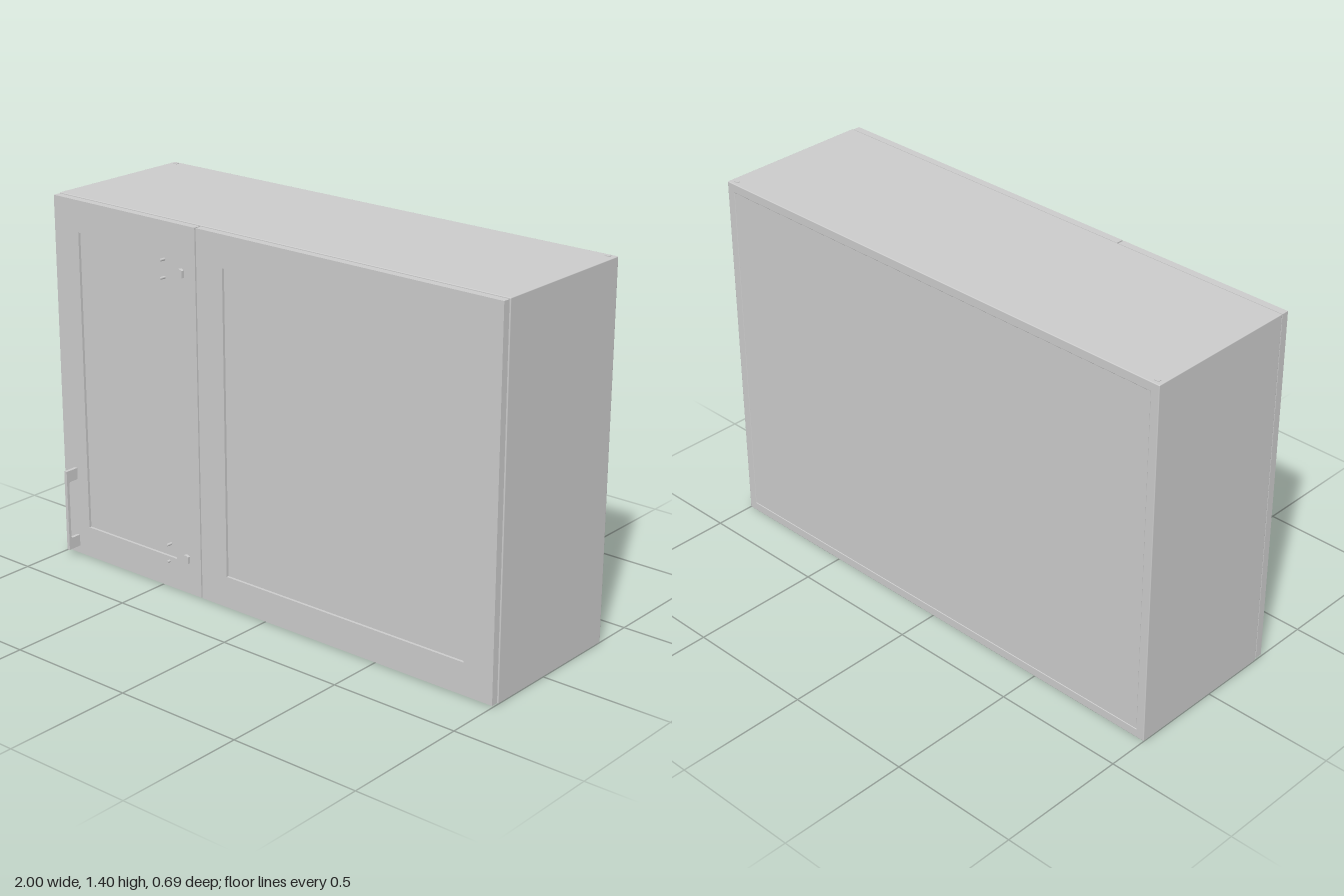
import * as THREE from 'three';
import { RoundedBoxGeometry } from 'three/addons/geometries/RoundedBoxGeometry.js';

const material = new THREE.MeshStandardMaterial({ color: 0xcccccc });

function add(parent, name, geometry, x = 0, y = 0, z = 0) {
  const mesh = new THREE.Mesh(geometry, material);
  mesh.name = name;
  mesh.position.set(x, y, z);
  parent.add(mesh);
  return mesh;
}

// Box given by its lower and upper corners
function box(parent, name, [x0, y0, z0], [x1, y1, z1], radius = 0) {
  const size = [x1 - x0, y1 - y0, z1 - z0];
  const geometry = radius
    ? new RoundedBoxGeometry(...size, 2, radius)
    : new THREE.BoxGeometry(...size);
  return add(parent, name, geometry, (x0 + x1) / 2, (y0 + y1) / 2, (z0 + z1) / 2);
}

function rectangle(target, x0, y0, x1, y1) {
  target.moveTo(x0, y0);
  target.lineTo(x1, y0);
  target.lineTo(x1, y1);
  target.lineTo(x0, y1);
  target.closePath();
  return target;
}

const extrude = (shape, depth) =>
  new THREE.ExtrudeGeometry(shape, { depth, bevelEnabled: false, curveSegments: 8 });

const BACK = -0.345, CARCASS_FRONT = 0.258, DOOR_BACK = 0.262, DOOR_FRONT = 0.29;
const TOP = 1.398, BOARD = 0.035;

// Hollow case made of boards
function makeCarcass() {
  const g = new THREE.Group();
  g.name = 'carcass';
  for (const [name, x] of [['rightSide', -1], ['leftSide', 1 - BOARD]]) {
    box(g, name, [x, 0, BACK], [x + BOARD, TOP, CARCASS_FRONT], 0.003);
  }
  for (const [name, y] of [['bottomBoard', 0], ['topBoard', TOP - BOARD]]) {
    box(g, name, [-0.997, y, BACK], [0.997, y + BOARD, CARCASS_FRONT], 0.003);
  }
  box(g, 'backPanel', [-0.99, 0.01, BACK + 0.002], [0.99, TOP - 0.01, BACK + 0.03]);
  for (const x of [-0.975, 0.972]) {
    box(g, 'hangerCap', [x - 0.009, TOP - 0.004, -0.331], [x + 0.009, 1.4, -0.318]);
  }
  return g;
}

// Frame-and-panel door
function makeDoor(name, x0, x1) {
  const g = new THREE.Group();
  g.name = name;
  const y0 = 0.005, y1 = 1.395, rail = 0.12;
  const frame = rectangle(new THREE.Shape(), x0, y0, x1, y1);
  frame.holes.push(rectangle(new THREE.Path(), x0 + rail, y0 + rail, x1 - rail, y1 - rail));
  add(g, 'doorFrame', extrude(frame, DOOR_FRONT - DOOR_BACK), 0, 0, DOOR_BACK);
  box(g, 'doorPanel', [x0 + rail - 0.01, y0 + rail - 0.01, DOOR_BACK + 0.004],
    [x1 - rail + 0.01, y1 - rail + 0.01, DOOR_FRONT - 0.01]);
  return g;
}

// Hinge block with its pair of screws
function makeHinge(y) {
  const g = new THREE.Group();
  g.name = 'hinge';
  const d = new THREE.Shape();
  d.moveTo(0.013, -0.013);
  d.lineTo(0.013, 0.013);
  d.lineTo(0.002, 0.018);
  d.quadraticCurveTo(-0.013, 0.018, -0.013, 0.01);
  d.lineTo(-0.013, -0.01);
  d.quadraticCurveTo(-0.013, -0.018, 0.002, -0.018);
  d.closePath();
  add(g, 'hingeBlock', extrude(d, 0.02), -0.37, y, 0.282);
  for (const dy of [-0.033, 0.033]) {
    const screw = add(g, 'hingeScrew', new THREE.CylinderGeometry(0.005, 0.005, 0.027, 12), -0.46, y + dy, 0.29);
    screw.rotation.x = Math.PI / 2;
  }
  return g;
}

// Flat bow handle: profile drawn with shape x = model z
function makeHandle() {
  const s = new THREE.Shape();
  const inner = 0.334, r = 0.01;
  s.moveTo(DOOR_FRONT, 0.035);
  s.lineTo(0.345, 0.035);
  s.lineTo(0.345, 0.352);
  s.lineTo(DOOR_FRONT, 0.352);
  s.lineTo(DOOR_FRONT, 0.307);
  s.lineTo(inner - r, 0.307);
  s.quadraticCurveTo(inner, 0.307, inner, 0.307 - r);
  s.lineTo(inner, 0.08 + r);
  s.quadraticCurveTo(inner, 0.08, inner - r, 0.08);
  s.lineTo(DOOR_FRONT, 0.08);
  s.closePath();
  const geometry = extrude(s, 0.013);
  geometry.rotateY(-Math.PI / 2);
  const mesh = new THREE.Mesh(geometry, material);
  mesh.name = 'handle';
  mesh.position.x = -0.932;
  return mesh;
}

export function createModel() {
  const model = new THREE.Group();
  model.name = 'wallCabinet';
  model.add(
    makeCarcass(),
    makeDoor('narrowDoor', -0.998, -0.304),
    makeDoor('wideFront', -0.298, 0.998),
    makeHinge(1.22),
    makeHinge(0.14),
    makeHandle(),
  );
  return model;
}
